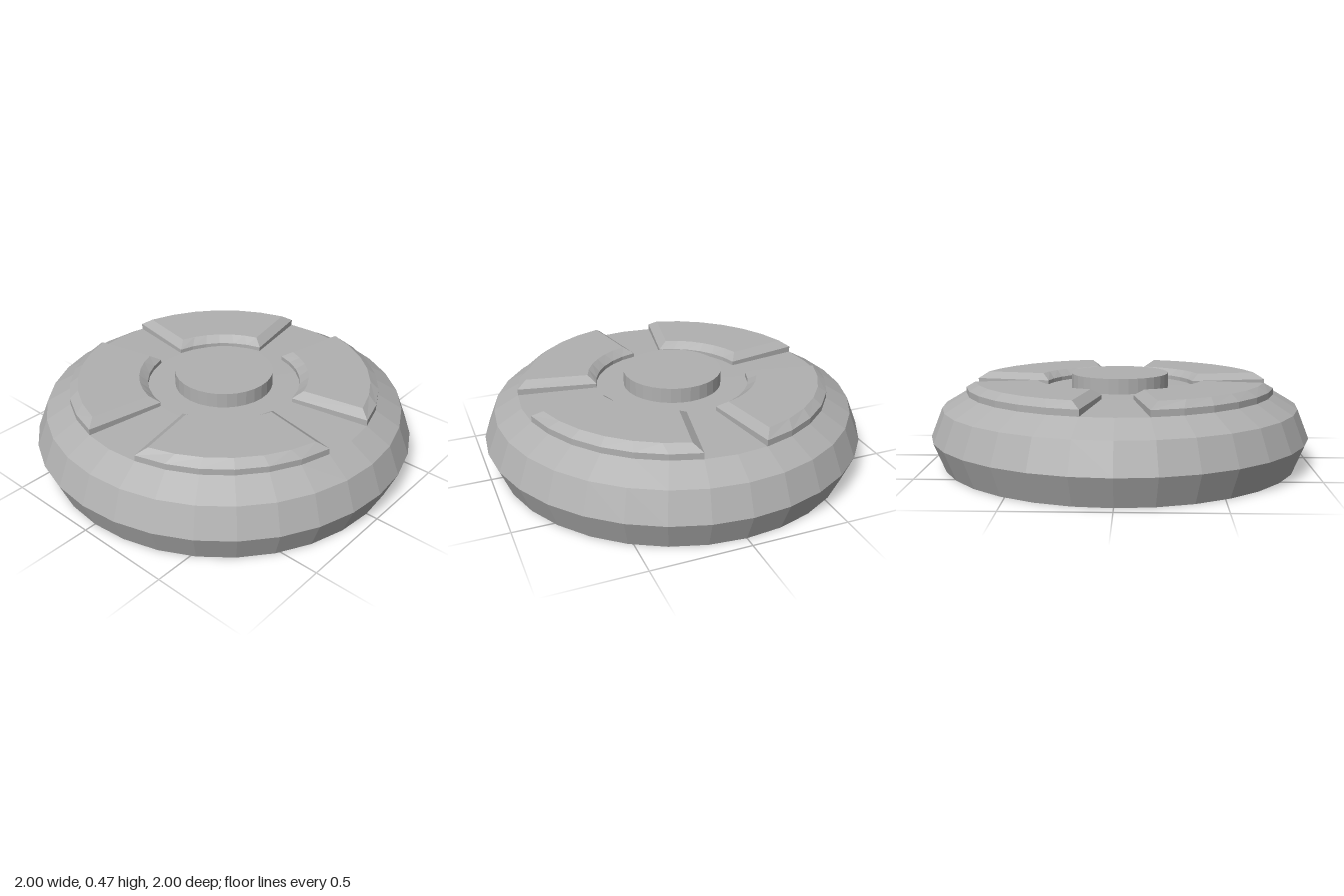
import * as THREE from 'three';

const SIDES = 32;
const ARC_STEPS = 6;

// Closed outline of a ring sector, shrunk by inset, with its sides kept parallel
function sectorOutline(inset, y) {
  const half = Math.PI / 4, gap = Math.PI / 16;
  const arc = (r) => {
    const span = half - gap - Math.asin(inset / r);
    return Array.from({ length: ARC_STEPS + 1 }, (_, i) => {
      const a = half + span * (2 * i / ARC_STEPS - 1);
      return [r * Math.sin(a), y, r * Math.cos(a)];
    });
  };
  return [...arc(0.812 - inset), ...arc(0.402 + inset).reverse()];
}

// Raised pad: upright wall, bevel, then a flat top
function padGeometry() {
  const layers = [sectorOutline(0, 0.36), sectorOutline(0, 0.407), sectorOutline(0.045, 0.44)];
  const n = layers[0].length;
  const pos = [];
  const quad = (a, b, c, d) => pos.push(...a, ...b, ...c, ...a, ...c, ...d);
  for (let l = 0; l < 2; l++) {
    for (let i = 0; i < n; i++) {
      const j = (i + 1) % n;
      quad(layers[l][i], layers[l][j], layers[l + 1][j], layers[l + 1][i]);
    }
  }
  const top = layers[2];
  for (let i = 0; i < ARC_STEPS; i++) {
    quad(top[i], top[i + 1], top[n - 2 - i], top[n - 1 - i]);
  }
  const geo = new THREE.BufferGeometry();
  geo.setAttribute('position', new THREE.Float32BufferAttribute(pos, 3));
  geo.computeVertexNormals();
  return geo;
}

export function createModel() {
  const group = new THREE.Group();
  const grey = new THREE.MeshStandardMaterial({ color: 0xb0b0b0, flatShading: true });
  grey.name = 'grey';

  const add = (name, geometry) => {
    const mesh = new THREE.Mesh(geometry, grey);
    mesh.name = name;
    group.add(mesh);
    return mesh;
  };

  // Rounded disc with a flat base and a nearly flat top
  const profile = [[0, 0], [0.94, 0], [1, 0.15], [0.94, 0.3], [0.812, 0.375], [0.4, 0.386], [0, 0.388]]
    .map(([r, y]) => new THREE.Vector2(r, y));
  add('body', new THREE.LatheGeometry(profile, SIDES));

  // Central hub
  add('hub', new THREE.CylinderGeometry(0.258, 0.258, 0.1, SIDES)).position.y = 0.415;

  // Four bevelled pads around the hub
  const pad = padGeometry();
  for (let i = 0; i < 4; i++) add('pad' + (i + 1), pad).rotation.y = i * Math.PI / 2;

  return group;
}
